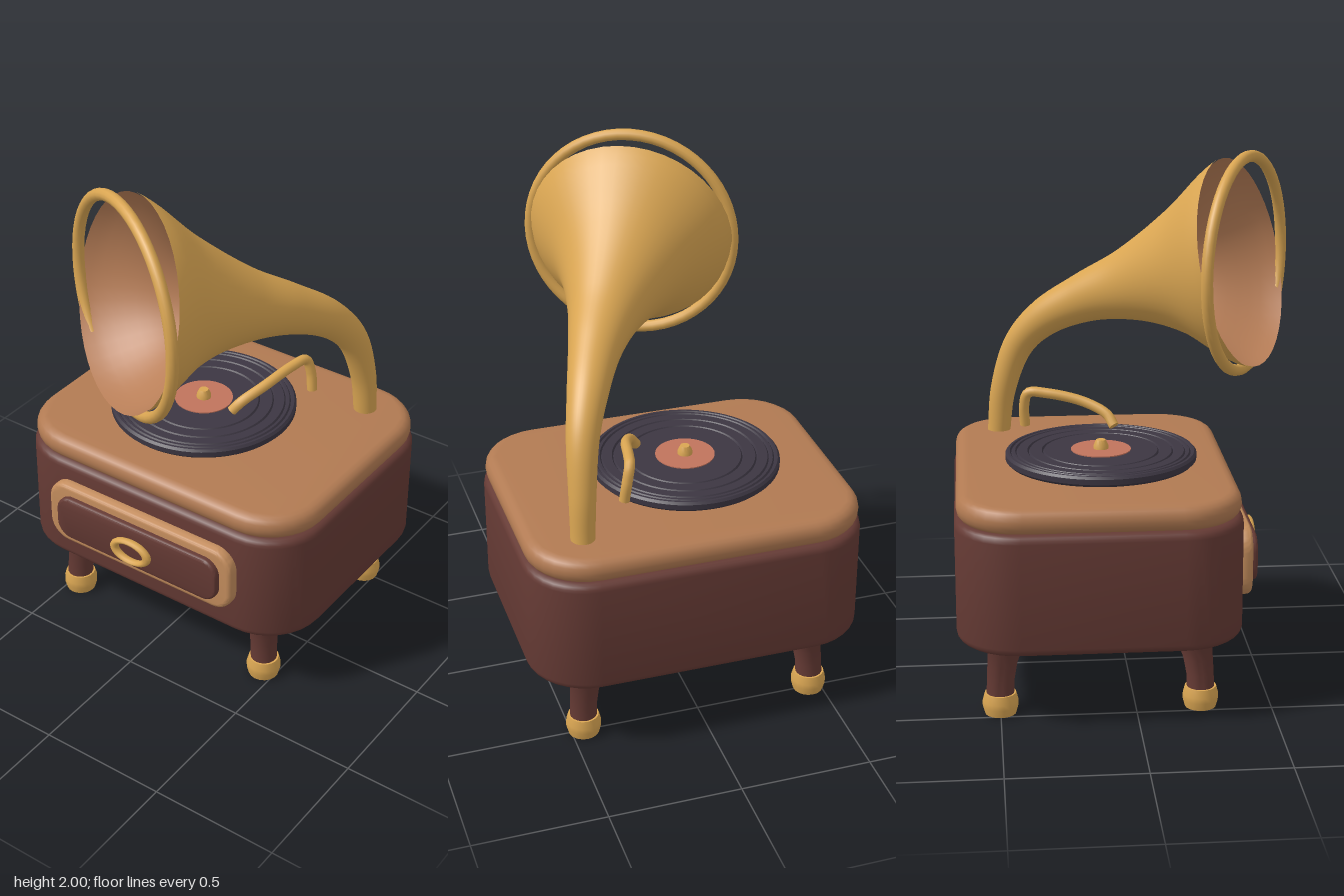
import * as THREE from 'three';
import { toCreasedNormals } from 'three/addons/utils/BufferGeometryUtils.js';

const mat = (name, color) => {
  const m = new THREE.MeshStandardMaterial({ color });
  m.name = name;
  return m;
};
const v = (x, y, z) => new THREE.Vector3(x, y, z);

// Rounded slab extruded along +z from 0 to depth, with bevelled rims
function slab(w, h, depth, corner, bevel, segs) {
  const x = w / 2, y = h / 2, s = new THREE.Shape();
  s.absarc(x - corner, y - corner, corner, 0, Math.PI / 2);
  s.absarc(-x + corner, y - corner, corner, Math.PI / 2, Math.PI);
  s.absarc(-x + corner, -y + corner, corner, Math.PI, Math.PI * 1.5);
  s.absarc(x - corner, -y + corner, corner, Math.PI * 1.5, Math.PI * 2);
  const g = new THREE.ExtrudeGeometry(s, {
    depth: depth - bevel * 2, curveSegments: segs,
    bevelThickness: bevel, bevelSize: bevel, bevelOffset: -bevel, bevelSegments: 4,
  });
  g.translate(0, 0, bevel);
  return toCreasedNormals(g, 0.7);
}

const lathe = (pts, segs) =>
  toCreasedNormals(new THREE.LatheGeometry(pts.map(([r, y]) => new THREE.Vector2(r, y)), segs), 0.7);

// Flared horn swept along a bent path; flip turns the faces inward
function hornGeometry(inset, flip) {
  const rows = [ // x, y, z, radius
    [0.432, 0.82, -0.475, 0.045], [0.425, 1.0, -0.455, 0.05], [0.402, 1.19, -0.39, 0.06],
    [0.355, 1.305, -0.29, 0.074], [0.28, 1.4, -0.13, 0.098], [0.19, 1.468, 0.04, 0.145],
    [0.088, 1.53, 0.22, 0.24], [-0.027, 1.585, 0.43, 0.395],
  ];
  const path = new THREE.CatmullRomCurve3(rows.map(r => v(r[0], r[1], r[2])));
  const radii = new THREE.SplineCurve(rows.map((r, i) => new THREE.Vector2(i, r[3])));
  const pos = [], idx = [], N = 48, R = 42;
  for (let i = 0; i <= N; i++) {
    const c = path.getPoint(i / N), t = path.getTangent(i / N);
    const r = radii.getPoint(i / N).y - inset;
    const side = v(0.88, 0, 0.474).projectOnPlane(t).normalize();
    const up = t.clone().cross(side);
    for (let j = 0; j < R; j++) {
      const a = j / R * Math.PI * 2;
      const p = c.clone().addScaledVector(side, r * Math.cos(a)).addScaledVector(up, r * Math.sin(a));
      pos.push(p.x, p.y, p.z);
      if (i === N) continue;
      const k = (j + 1) % R, A = i * R + j, B = i * R + k, C = A + R, D = B + R;
      if (flip) idx.push(A, C, B, B, C, D);
      else idx.push(A, B, C, B, D, C);
    }
  }
  const g = new THREE.BufferGeometry();
  g.setAttribute('position', new THREE.Float32BufferAttribute(pos, 3));
  g.setIndex(idx);
  g.computeVertexNormals();
  return g;
}

export function createModel() {
  const model = new THREE.Group();
  model.name = 'gramophone';
  const darkWood = mat('dark wood', 0x653a34);
  const lightWood = mat('light wood', 0xb17a52);
  const trim = mat('drawer trim', 0xc48d5d);
  const brass = mat('brass', 0xd9a552);
  const copper = mat('horn lining', 0xb97f58);
  const vinyl = mat('vinyl', 0x3c3642);
  const paper = mat('record label', 0xc0735c);

  const add = (name, geometry, material, x = 0, y = 0, z = 0, parent = model) => {
    const m = new THREE.Mesh(geometry, material);
    m.name = name;
    m.position.set(x, y, z);
    parent.add(m);
    return m;
  };

  // Cabinet and lid
  add('cabinet', slab(1.29, 1.05, 0.455, 0.23, 0.03, 4), darkWood, 0, 0.288, -0.13).rotation.x = -Math.PI / 2;
  add('lid', slab(1.275, 1.035, 0.095, 0.23, 0.042, 4), lightWood, 0, 0.738, -0.13).rotation.x = -Math.PI / 2;

  // Drawer front with ring pull
  add('drawerFrame', slab(0.855, 0.268, 0.06, 0.085, 0.018, 6), trim, -0.003, 0.533, 0.375);
  add('drawerPanel', slab(0.75, 0.185, 0.06, 0.065, 0.012, 6), darkWood, 0, 0.533, 0.4);
  add('drawerPull', new THREE.TorusGeometry(0.076, 0.017, 10, 28), brass, -0.004, 0.527, 0.476).scale.y = 0.58;

  // Legs leaning in toward the cabinet, with brass feet
  const legProfile = [[0.051, 0.075], [0.051, 0.13], [0.055, 0.19], [0.064, 0.24], [0.082, 0.3]];
  const footProfile = [[0, 0], [0.058, 0], [0.066, 0.03], [0.066, 0.05], [0.058, 0.08], [0, 0.08]];
  const foot = lathe(footProfile, 18);
  for (const sx of [-1, 1]) for (const sz of [-1, 1]) {
    const leg = new THREE.Group();
    leg.name = (sz > 0 ? 'front' : 'back') + (sx > 0 ? 'Left' : 'Right') + 'Leg';
    leg.position.set(sx * 0.452, 0, -0.13 + sz * 0.37);
    const g = lathe(legProfile, 18), p = g.attributes.position;
    for (let i = 0; i < p.count; i++) {
      const lean = 0.035 * Math.pow((p.getY(i) - 0.075) / 0.225, 2);
      p.setX(i, p.getX(i) - sx * lean);
      p.setZ(i, p.getZ(i) - sz * lean);
    }
    add('legPost', g, darkWood, 0, 0, 0, leg);
    add('foot', foot, brass, 0, 0, 0, leg);
    model.add(leg);
  }

  // Record with cut grooves, label and spindle
  const disc = [[0, 0], [0.35, 0], [0.36, 0.01], [0.36, 0.03], [0.352, 0.039]];
  for (const r of [0.338, 0.318, 0.272, 0.218])
    disc.push([r + 0.005, 0.039], [r, 0.032], [r - 0.005, 0.039]);
  disc.push([0, 0.039]);
  add('record', lathe(disc, 64), vinyl, -0.075, 0.849, -0.1);
  add('recordLabel', new THREE.CylinderGeometry(0.113, 0.113, 0.006, 40), paper, -0.075, 0.889, -0.1);
  add('spindle', lathe([[0.029, 0], [0.028, 0.015], [0.018, 0.036], [0, 0.036]], 16), brass, -0.075, 0.89, -0.1);

  // Tonearm: bent tube closed with flat ends
  const armPath = new THREE.CatmullRomCurve3([
    v(0.247, 0.9, -0.375), v(0.236, 0.98, -0.378), v(0.222, 1.035, -0.362), v(0.205, 1.036, -0.29),
    v(0.172, 1.008, -0.15), v(0.128, 0.967, -0.062), v(0.1, 0.928, -0.037)]);
  add('tonearm', new THREE.TubeGeometry(armPath, 40, 0.02, 12), brass);
  for (const t of [0, 1]) {
    const cap = add('tonearmEnd', new THREE.CircleGeometry(0.02, 12), brass);
    cap.position.copy(armPath.getPoint(t));
    cap.quaternion.setFromUnitVectors(v(0, 0, 1), armPath.getTangent(t).multiplyScalar(t ? 1 : -1));
  }

  // Horn, lining and rolled rim
  add('horn', hornGeometry(0, false), brass);
  add('hornLining', hornGeometry(0.004, true), copper);
  add('hornRim', new THREE.TorusGeometry(0.398, 0.022, 12, 56), brass, -0.03, 1.58, 0.445).rotation.y = -0.494;

  return model;
}
